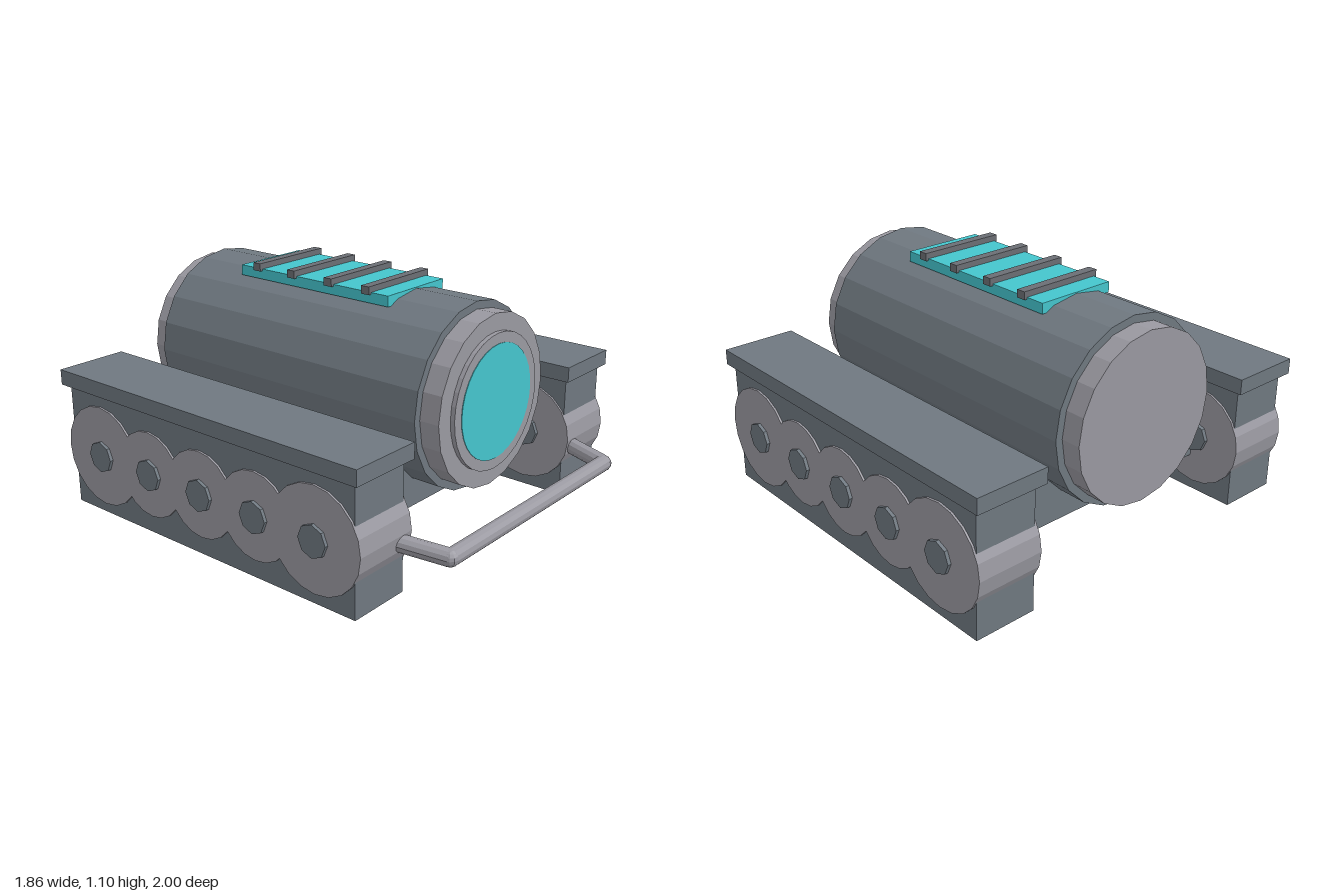
import * as THREE from 'three';

export function createModel() {
  const model = new THREE.Group();
  model.name = 'trackedVehicle';

  const material = (name, color, flatShading = true) => {
    const m = new THREE.MeshStandardMaterial({ color, flatShading });
    m.name = name;
    return m;
  };
  const hull = material('slate grey', 0x6f7880);
  const metal = material('light grey', 0x9a99a1);
  const glow = material('turquoise', 0x45c5cd);
  const barGrey = material('dark grey', 0x6b6e74);

  const add = (parent, name, geometry, mat, x = 0, y = 0, z = 0) => {
    const mesh = new THREE.Mesh(geometry, mat);
    mesh.name = name;
    mesh.position.set(x, y, z);
    parent.add(mesh);
    return mesh;
  };
  // Box and cylinder given by their extents
  const box = (parent, name, mat, [x0, x1], [y0, y1], [z0, z1]) =>
    add(parent, name, new THREE.BoxGeometry(x1 - x0, y1 - y0, z1 - z0), mat,
      (x0 + x1) / 2, (y0 + y1) / 2, (z0 + z1) / 2);
  const drum = (name, mat, radius, z0, z1, sides = 20) =>
    add(model, name, new THREE.CylinderGeometry(radius, radius, z1 - z0, sides).rotateX(Math.PI / 2),
      mat, 0, 0.65, (z0 + z1) / 2);

  // Chassis between the tracks
  box(model, 'chassis', hull, [-0.62, 0.62], [0.175, 0.43], [-0.74, 0.5]);

  // Barrel body with stepped ends and front lens
  drum('barrel', hull, 0.42, -0.875, 0.64);
  drum('barrelEnds', metal, 0.385, -0.967, 0.735);
  drum('lensRing', metal, 0.305, 0.7, 0.756, 32);
  drum('lens', glow, 0.258, 0.752, 0.759, 32);

  // Glowing roof panel with cross bars
  box(model, 'roofPanel', glow, [-0.195, 0.195], [1.027, 1.075], [-0.553, 0.32]);
  for (const z of [0.205, -0.007, -0.228, -0.44]) {
    box(model, 'roofBar', barGrey, [-0.21, 0.21], [1.066, 1.102], [z - 0.022, z + 0.022]);
  }

  // Track units, mirrored left and right
  for (const side of [1, -1]) {
    const track = new THREE.Group();
    track.name = side > 0 ? 'leftTrack' : 'rightTrack';
    model.add(track);
    const span = (a, b) => (side > 0 ? [a, b] : [-b, -a]);
    box(track, 'trackBody', hull, span(0.61, 0.905), [0, 0.59], [-0.965, 0.737]);
    box(track, 'trackCover', hull, span(0.58, 0.93), [0.58, 0.652], [-1, 0.765]);

    // Wheels and hubs run through the body; the end wheels are larger
    [0.535, 0.21, -0.112, -0.434, -0.757].forEach((z, i) => {
      const radius = i === 0 || i === 4 ? 0.237 : 0.2;
      add(track, 'wheel', new THREE.CylinderGeometry(radius, radius, 0.315, 20).rotateZ(Math.PI / 2),
        metal, side * 0.757, 0.284, z);
      add(track, 'hub', new THREE.CylinderGeometry(0.073, 0.073, 0.35, 8).rotateZ(Math.PI / 2),
        hull, side * 0.755, 0.284, z);
    });
  }

  // Front bumper: three straight rods with round joints
  const bumper = new THREE.Group();
  bumper.name = 'bumper';
  model.add(bumper);
  const r = 0.038;
  const points = [[-0.665, 0.247, 0.72], [-0.6, 0.227, 0.962], [0.6, 0.227, 0.962], [0.665, 0.247, 0.72]]
    .map((p) => new THREE.Vector3(...p));
  for (let i = 0; i < 3; i++) {
    const path = new THREE.LineCurve3(points[i], points[i + 1]);
    add(bumper, 'bumperRod', new THREE.TubeGeometry(path, 1, r, 12), metal);
  }
  for (const p of points.slice(1, 3)) {
    add(bumper, 'bumperJoint', new THREE.SphereGeometry(r, 12, 8), metal, p.x, p.y, p.z);
  }

  return model;
}
